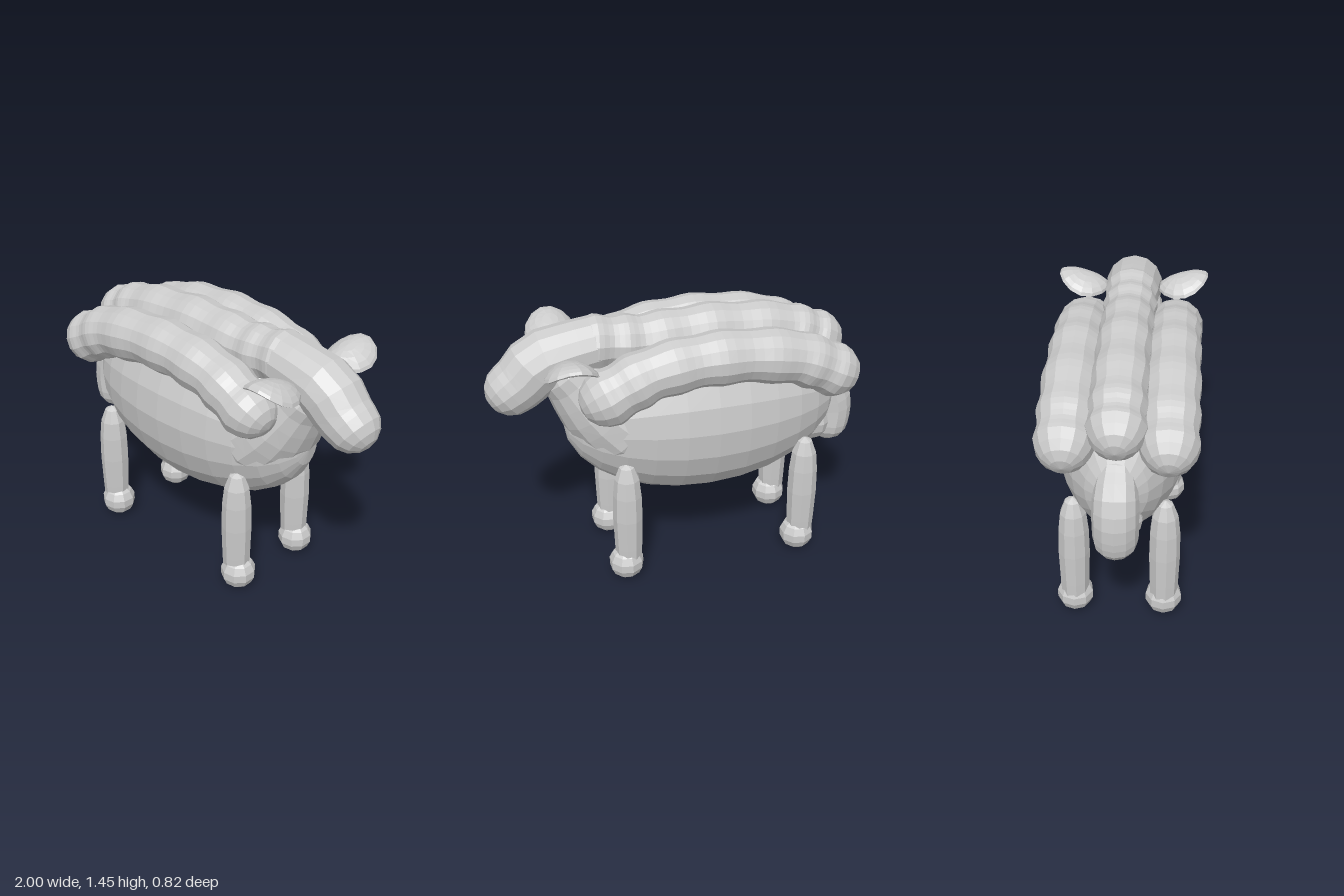
import * as THREE from 'three';

const wool = new THREE.MeshStandardMaterial({ color: 0xcccccc, flatShading: true });

// Round-ended sweep along a spine of [x, y, radius] points lying in the xy plane.
function sweep(points, steps, sides, bump = 0, bumps = 0) {
  const curve = new THREE.CatmullRomCurve3(points.map(p => new THREE.Vector3(...p)));
  const rings = [];
  const at = t => {
    const c = curve.getPoint(t), d = curve.getTangent(t);
    d.z = 0;
    d.normalize();
    return { c, d };
  };
  const cap = (t, a) => {
    const { c, d } = at(t);
    rings.push({ x: c.x + d.x * c.z * Math.cos(a), y: c.y + d.y * c.z * Math.cos(a),
      r: Math.max(c.z * Math.sin(a), 0.001), d });
  };
  const capSteps = 4;
  for (let i = 0; i < capSteps; i++) cap(0, Math.PI - (i / capSteps) * Math.PI / 2);
  for (let i = 0; i <= steps; i++) {
    const t = i / steps, { c, d } = at(t);
    rings.push({ x: c.x, y: c.y, r: c.z + bump * Math.cos(t * bumps * Math.PI * 2), d });
  }
  for (let i = capSteps - 1; i >= 0; i--) cap(1, (i / capSteps) * Math.PI / 2);

  const pos = [], index = [];
  rings.forEach(({ x, y, r, d }, i) => {
    for (let j = 0; j < sides; j++) {
      const a = (j / sides) * Math.PI * 2, n = Math.cos(a) * r;
      pos.push(x - d.y * n, y + d.x * n, Math.sin(a) * r);
      if (i < rings.length - 1) {
        const k = (j + 1) % sides, p = i * sides, q = p + sides;
        index.push(p + j, p + k, q + j, p + k, q + k, q + j);
      }
    }
  });
  const g = new THREE.BufferGeometry();
  g.setAttribute('position', new THREE.Float32BufferAttribute(pos, 3));
  g.setIndex(index);
  g.computeVertexNormals();
  return g;
}

export function createModel() {
  const model = new THREE.Group();
  model.name = 'sheep';
  const add = (name, geometry, x = 0, y = 0, z = 0) => {
    const mesh = new THREE.Mesh(geometry, wool);
    mesh.name = name;
    mesh.position.set(x, y, z);
    model.add(mesh);
    return mesh;
  };

  // Barrel body with its poles along the spine
  const body = new THREE.SphereGeometry(1, 20, 14);
  body.rotateZ(-Math.PI / 2);
  body.scale(0.75, 0.465, 0.35);
  add('body', body, -0.13, 0.875, 0);

  // Neck and head
  add('neck', sweep([[0.3, 0.88, 0.28], [0.42, 0.99, 0.245], [0.56, 1.15, 0.17]], 5, 16));
  add('head', sweep([[0.44, 1.3, 0.145], [0.58, 1.275, 0.15], [0.72, 1.235, 0.158],
    [0.81, 1.15, 0.148], [0.865, 1.11, 0.14]], 7, 14));

  // Three bumpy fleece rolls
  add('middleFleece', sweep([[-0.77, 1.185, 0.14], [-0.58, 1.255, 0.14], [-0.17, 1.3, 0.14],
    [0.2, 1.285, 0.14], [0.44, 1.305, 0.14]], 36, 14, 0.007, 6));
  for (const s of [1, -1]) {
    const side = s > 0 ? 'left' : 'right';
    add(side === 'left' ? 'leftFleece' : 'rightFleece',
      sweep([[-0.77, 1.105, 0.14], [-0.55, 1.205, 0.14], [-0.15, 1.255, 0.138],
        [0.2, 1.215, 0.138], [0.43, 1.115, 0.145]], 36, 14, 0.006, 6), 0, 0, s * 0.243);

    // Flattened ear, bowed downwards along its long edges
    const ear = new THREE.SphereGeometry(1, 14, 10);
    const p = ear.attributes.position;
    for (let i = 0; i < p.count; i++) {
      const x = p.getX(i), y = p.getY(i), z = p.getZ(i);
      p.setXYZ(i, x * 0.135, y * (y > 0 ? 0.045 : 0.02) - 0.045 * x * x, z * 0.145);
    }
    ear.computeVertexNormals();
    add(side + 'Ear', ear, 0.61, 1.305, s * 0.275).rotation.x = -s * 0.3;

    // Legs with ball feet
    const legProfile = [[0.068, 0.08], [0.074, 0.2], [0.08, 0.38], [0.077, 0.52],
      [0.066, 0.62], [0.04, 0.69], [0.001, 0.71]].map(q => new THREE.Vector2(...q));
    for (const [end, x, footX] of [['Front', 0.34, 0.355], ['Hind', -0.645, -0.63]]) {
      add(side + end + 'Leg', new THREE.LatheGeometry(legProfile, 9), x, 0, s * 0.228);
      const foot = new THREE.SphereGeometry(0.095, 9, 7);
      add(side + end + 'Foot', foot, footX, 0.095, s * 0.228);
    }
  }

  // Drooping tail
  add('tail', sweep([[-0.79, 0.96, 0.09], [-0.86, 0.87, 0.11], [-0.888, 0.76, 0.112],
    [-0.88, 0.66, 0.11]], 6, 12));
  add('tailRoot', new THREE.SphereGeometry(0.13, 10, 8), -0.76, 0.7, 0);

  return model;
}
